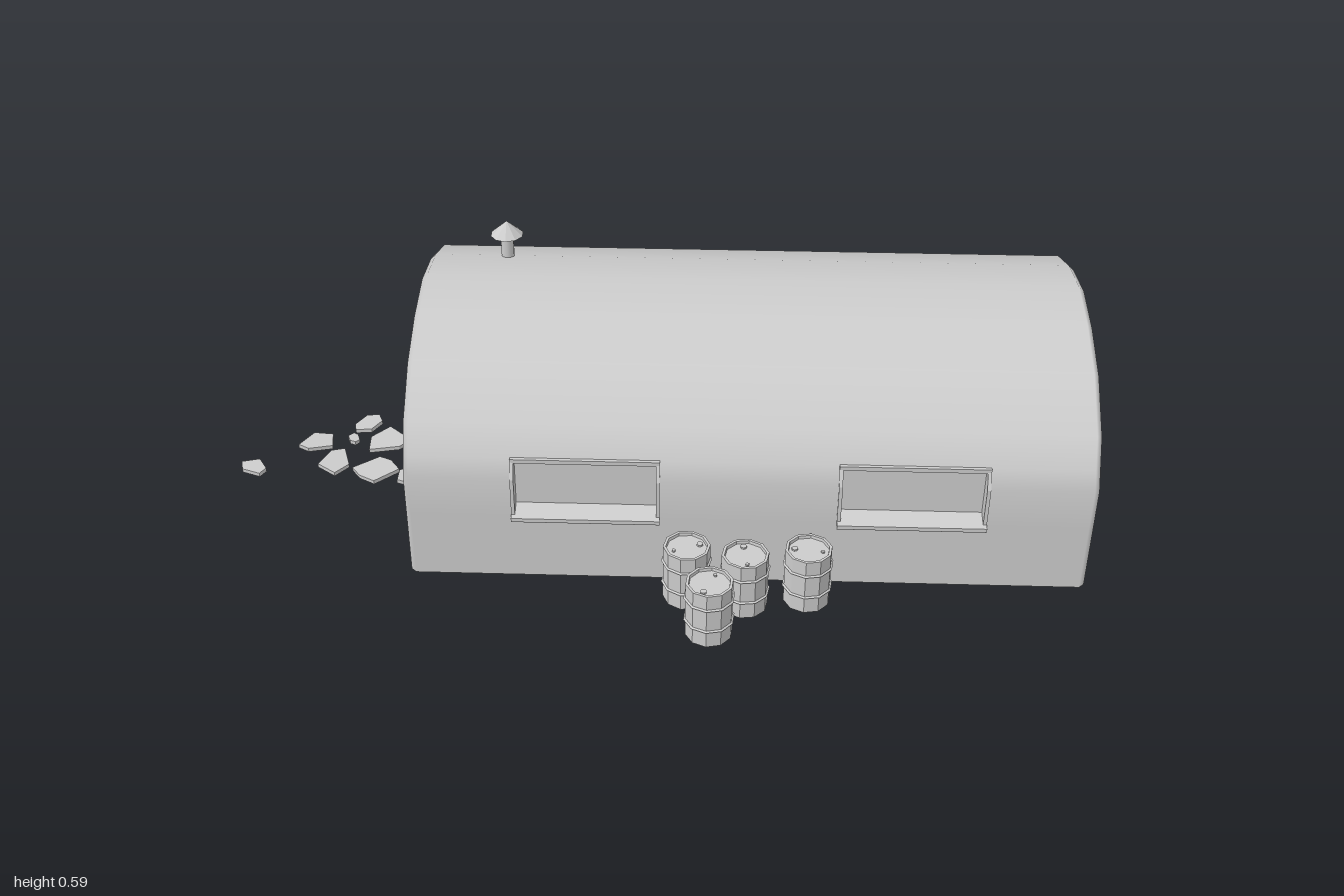
import * as THREE from 'three';

const MID = -0.11; // z of the hut's centre line
const grey = new THREE.MeshStandardMaterial({ color: 0xcccccc, side: THREE.DoubleSide });
const faceted = new THREE.MeshStandardMaterial({ color: 0xcccccc, flatShading: true, side: THREE.DoubleSide });

// Half of the arch, from the ground to the ridge: [half width, height]
const HALF = [[0.42, 0.01], [0.42, 0.17], [0.42, 0.27], [0.399, 0.31], [0.365, 0.375], [0.255, 0.46], [0.13, 0.505], [0, 0.525]];
const ARCH = [...HALF, ...HALF.slice(0, -1).reverse().map(([w, y]) => [-w, y])];
const WINDOWS = [[-0.3, 0.02], [0.4, 0.72]];

function add(parent, name, geometry, material = grey, x = 0, y = 0, z = 0) {
  const mesh = new THREE.Mesh(geometry, material);
  mesh.name = name;
  mesh.position.set(x, y, z);
  parent.add(mesh);
  return mesh;
}

// Box given by its limits
function box(parent, name, x0, x1, y0, y1, z0, z1) {
  return add(parent, name, new THREE.BoxGeometry(x1 - x0, y1 - y0, z1 - z0), grey,
    (x0 + x1) / 2, (y0 + y1) / 2, (z0 + z1) / 2);
}

function rectPath(x0, x1, y0, y1) {
  return new THREE.Path([[x0, y0], [x1, y0], [x1, y1], [x0, y1]].map(p => new THREE.Vector2(...p)));
}

// Arch inset a little, used for the bevelled ends
const inset = ([w, y]) => [w * 0.974, y > 0.02 ? y - 0.011 * Math.min(1, y / 0.5) : y];

// Curved skin: rings of the arch along x, leaving the side windows open
function shellGeometry() {
  const rings = [-0.53, -0.518, -0.3, 0.02, 0.4, 0.72, 0.938, 0.95];
  const pos = [], nor = [], index = [], n = ARCH.length;
  rings.forEach((x, r) => {
    const end = r === 0 || r === rings.length - 1;
    ARCH.forEach((p, i) => {
      const [w, y] = end ? inset(p) : p;
      const a = ARCH[Math.max(0, i - 1)], b = ARCH[Math.min(n - 1, i + 1)];
      const normal = new THREE.Vector3(end ? Math.sign(x) * 0.5 : 0, a[0] - b[0], b[1] - a[1]);
      normal.normalize();
      pos.push(x, y, MID + w);
      nor.push(...normal);
    });
  });
  for (let r = 0; r < rings.length - 1; r++) {
    for (let i = 0; i < n - 1; i++) {
      const opening = (r === 2 || r === 4) && [1, 2, n - 3, n - 4].includes(i);
      if (opening) continue;
      const a = r * n + i, b = a + n;
      index.push(a, b, a + 1, b, b + 1, a + 1);
    }
  }
  const g = new THREE.BufferGeometry();
  g.setAttribute('position', new THREE.Float32BufferAttribute(pos, 3));
  g.setAttribute('normal', new THREE.Float32BufferAttribute(nor, 3));
  g.setIndex(index);
  return g;
}

// Long-side window; local z = 0 is the wall's face
function sideWindow(x0, x1) {
  const g = new THREE.Group();
  g.name = 'sideWindow';
  box(g, 'pane', x0, x1, 0.17, 0.31, -0.034, -0.03);
  const jamb = new THREE.Shape([[0.03, 0.17], [-0.003, 0.17], [-0.003, 0.27], [0.018, 0.312], [0.03, 0.312]]
    .map(p => new THREE.Vector2(...p)));
  for (const x of [x0, x1 - 0.008]) {
    const m = add(g, 'jamb', new THREE.ExtrudeGeometry(jamb, { depth: 0.008, bevelEnabled: false }), grey, x + 0.008);
    m.rotation.y = Math.PI / 2;
    m.position.x = x;
  }
  box(g, 'header', x0, x1, 0.302, 0.312, -0.032, -0.014);
  sill(g, x0, x1, -0.032);
  return g;
}

// Ledge with a sloping top
function sill(parent, x0, x1, back) {
  const s = new THREE.Shape([[-back, 0.165], [-0.012, 0.165], [0.014, 0.168], [0.014, 0.176], [-back, 0.188]]
    .map(([z, y], i) => new THREE.Vector2(i === 0 || i === 4 ? back : Math.abs(z), y)));
  const m = add(parent, 'sill', new THREE.ExtrudeGeometry(s, { depth: x1 - x0, bevelEnabled: false }), grey, x1);
  m.rotation.y = -Math.PI / 2;
}

// Gable wall with two windows and a recessed door; local z = 0 is its face
function endWall() {
  const g = new THREE.Group();
  g.name = 'endWall';
  const outline = new THREE.Shape(ARCH.map(p => new THREE.Vector2(...inset(p))));
  const spans = [[-0.33, -0.182], [0.182, 0.33]];
  outline.holes.push(rectPath(-0.087, 0.087, 0.0105, 0.335));
  spans.forEach(([a, b]) => outline.holes.push(rectPath(a, b, 0.17, 0.305)));
  add(g, 'wall', new THREE.ExtrudeGeometry(outline, { depth: 0.02, bevelEnabled: false }), grey, 0, 0, -0.02);
  for (const [a, b] of spans) {
    box(g, 'pane', a, b, 0.17, 0.305, -0.02, -0.016);
    box(g, 'header', a, b, 0.299, 0.307, -0.018, 0.002);
    box(g, 'jamb', a, a + 0.005, 0.17, 0.305, -0.018, 0.002);
    box(g, 'jamb', b - 0.005, b, 0.17, 0.305, -0.018, 0.002);
    sill(g, a, b, -0.018);
  }
  box(g, 'door', -0.087, 0.087, 0.01, 0.335, -0.02, -0.014);
  // Bow handles on both faces of the door
  for (const [z, d] of [[-0.014, 1], [-0.02, -1]]) {
    const path = new THREE.CatmullRomCurve3([[0.145, 0], [0.15, 0.014], [0.19, 0.014], [0.195, 0]]
      .map(([y, out]) => new THREE.Vector3(0.062, y, z + out * d)));
    add(g, 'doorHandle', new THREE.TubeGeometry(path, 12, 0.004, 6));
  }
  return g;
}

// Ribbed drum with a raised rim and two bungs
function barrel(x, z, turn) {
  const g = new THREE.Group();
  g.name = 'barrel';
  const R = 0.051;
  const profile = [[0, 0.018], [R - 0.005, 0.018], [R - 0.004, 0.014], [R, 0.014], [R, 0.052], [R + 0.004, 0.055], [R, 0.058],
    [R, 0.109], [R + 0.004, 0.112], [R, 0.115], [R, 0.15], [R - 0.006, 0.15], [R - 0.007, 0.143], [0, 0.143]];
  add(g, 'drum', new THREE.LatheGeometry(profile.map(p => new THREE.Vector2(...p)), 10), faceted);
  add(g, 'bung', new THREE.CylinderGeometry(0.007, 0.007, 0.004, 8), faceted, 0.03, 0.145, 0);
  add(g, 'bung', new THREE.CylinderGeometry(0.004, 0.004, 0.004, 8), faceted, -0.03, 0.145, 0);
  g.position.set(x, 0, z);
  g.rotation.y = turn;
  return g;
}

// Flat broken slab with an irregular outline
function slab(x, z, r, seed) {
  const n = 5 + seed % 2, pts = [];
  for (let i = 0; i < n; i++) {
    const a = (i + 0.25 * Math.sin(seed * 3.1 + i * 2.3)) / n * Math.PI * 2 + seed;
    const k = r * (0.95 + 0.15 * Math.sin(seed * 1.7 + i * 4.1));
    pts.push(new THREE.Vector2(Math.cos(a) * k, Math.sin(a) * k));
  }
  const g = new THREE.ExtrudeGeometry(new THREE.Shape(pts), { depth: 0.01, bevelEnabled: false });
  g.rotateX(-Math.PI / 2);
  g.rotateZ(0.05 * Math.sin(seed * 2));
  return new THREE.Mesh(g, faceted).translateX(x).translateY(0.008).translateZ(z);
}

export function createModel() {
  const model = new THREE.Group();
  model.name = 'archedHut';
  add(model, 'roofShell', shellGeometry());

  // Windows on both long sides
  for (const s of [1, -1]) {
    for (const [a, b] of WINDOWS) {
      const w = s > 0 ? sideWindow(a, b) : sideWindow(-b, -a);
      w.position.z = MID + s * 0.42;
      if (s < 0) w.rotation.y = Math.PI;
      model.add(w);
    }
  }

  // Gable walls
  for (const [x, s] of [[0.95, 1], [-0.53, -1]]) {
    const wall = endWall();
    wall.position.set(x, 0, MID);
    wall.rotation.y = s * Math.PI / 2;
    model.add(wall);
  }

  // Doorstep
  const step = box(model, 'doorstep', 0.925, 1, 0.008, 0.024, -0.19, -0.035);
  step.rotation.z = -0.03;

  // Stove pipe with a conical cap
  add(model, 'chimneyPipe', new THREE.CylinderGeometry(0.015, 0.015, 0.09, 10), grey, -0.35, 0.52, -0.24);
  add(model, 'chimneyCap', new THREE.ConeGeometry(0.038, 0.034, 10), faceted, -0.35, 0.578, -0.24);

  // Barrels along the front
  [[0.08, 0.37], [0.205, 0.393], [0.34, 0.37], [0.13, 0.487]]
    .forEach(([x, z], i) => model.add(barrel(x, z, i * 1.3 + 0.4)));

  // Broken paving by the far door
  [[-0.72, -0.25, 0.037], [-0.83, -0.165, 0.043], [-0.575, -0.245, 0.037], [-0.66, -0.18, 0.056], [-0.745, -0.185, 0.018],
    [-0.775, -0.09, 0.047], [-0.67, -0.06, 0.053], [-0.56, -0.13, 0.068], [-0.56, -0.035, 0.055], [-0.963, -0.06, 0.035]]
    .forEach(([x, z, r], i) => {
      const stone = slab(x, z, r, i + 1);
      stone.name = 'pavingSlab';
      model.add(stone);
    });
  return model;
}
